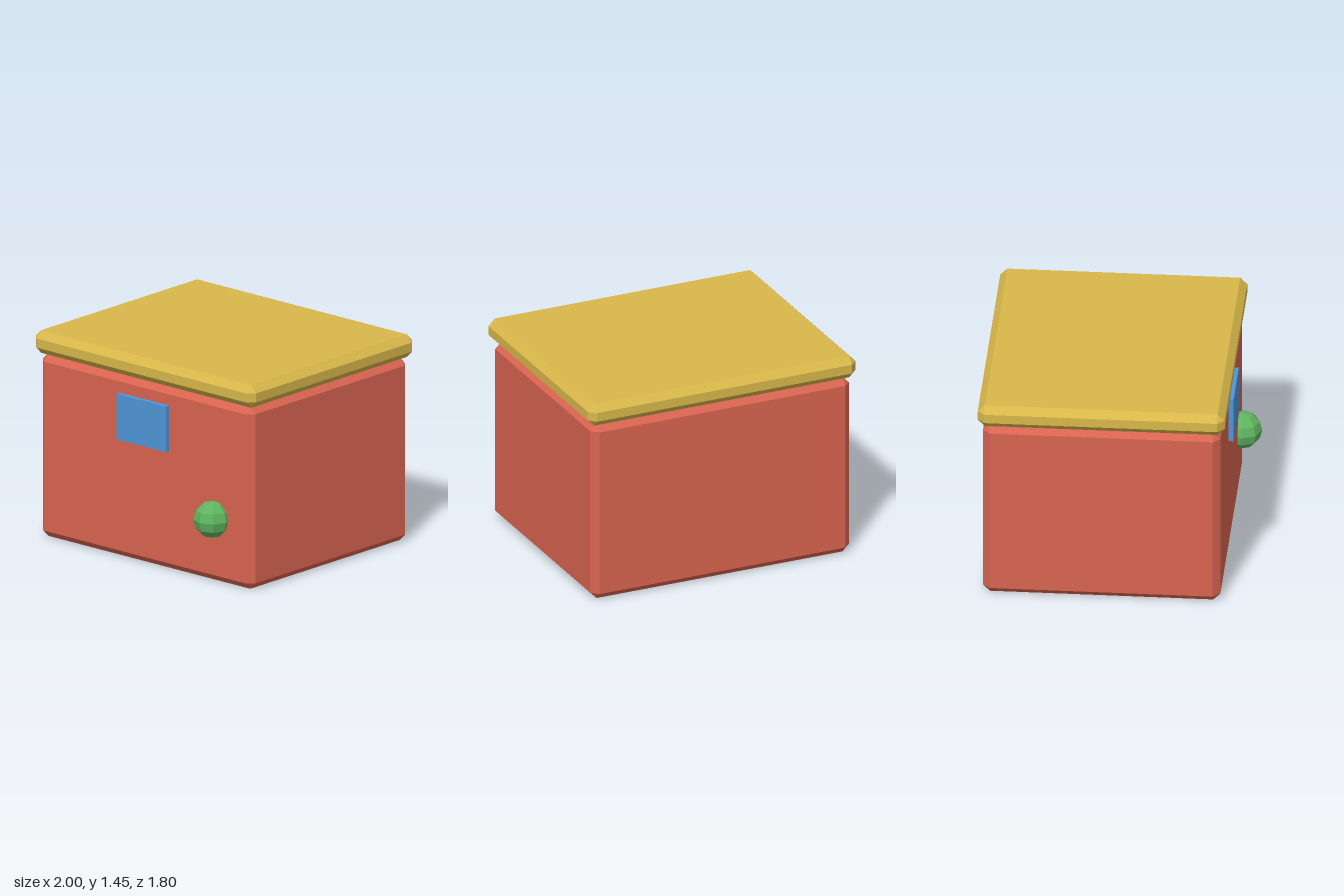
import * as THREE from 'three';
import { ConvexGeometry } from 'three/addons/geometries/ConvexGeometry.js';

function material(name, color) {
  const m = new THREE.MeshStandardMaterial({ color });
  m.name = name;
  return m;
}

// Box with every edge cut by a flat chamfer and every corner by a triangle
function chamferedBox(w, h, d, c) {
  const points = [];
  for (const x of [-1, 1]) for (const y of [-1, 1]) for (const z of [-1, 1]) {
    for (let axis = 0; axis < 3; axis++) {
      const inset = [c, c, c];
      inset[axis] = 0;
      points.push(new THREE.Vector3(
        x * (w / 2 - inset[0]), y * (h / 2 - inset[1]), z * (d / 2 - inset[2])));
    }
  }
  return new ConvexGeometry(points);
}

export function createModel() {
  const group = new THREE.Group();
  group.name = 'chest';

  function add(name, geometry, mat, x, y, z) {
    const mesh = new THREE.Mesh(geometry, mat);
    mesh.name = name;
    mesh.position.set(x, y, z);
    group.add(mesh);
  }

  const red = material('red', 0xd96450);
  const gold = material('gold', 0xd8b74a);
  const blue = material('blue', 0x4f96d8);
  const green = material('green', 0x5fb560);
  green.flatShading = true;

  // Body and overhanging lid
  add('body', chamferedBox(1.93, 1.29, 1.61, 0.048), red, 0, 0.645, -0.063);
  add('lid', chamferedBox(2, 0.16, 1.675, 0.048), gold, 0, 1.373, -0.063);

  // Front plate and low-poly knob
  add('plate', new THREE.BoxGeometry(0.448, 0.322, 0.04), blue, 0, 1.003, 0.756);
  add('knob', new THREE.SphereGeometry(0.128, 8, 6), green, 0.642, 0.454, 0.773);

  return group;
}
